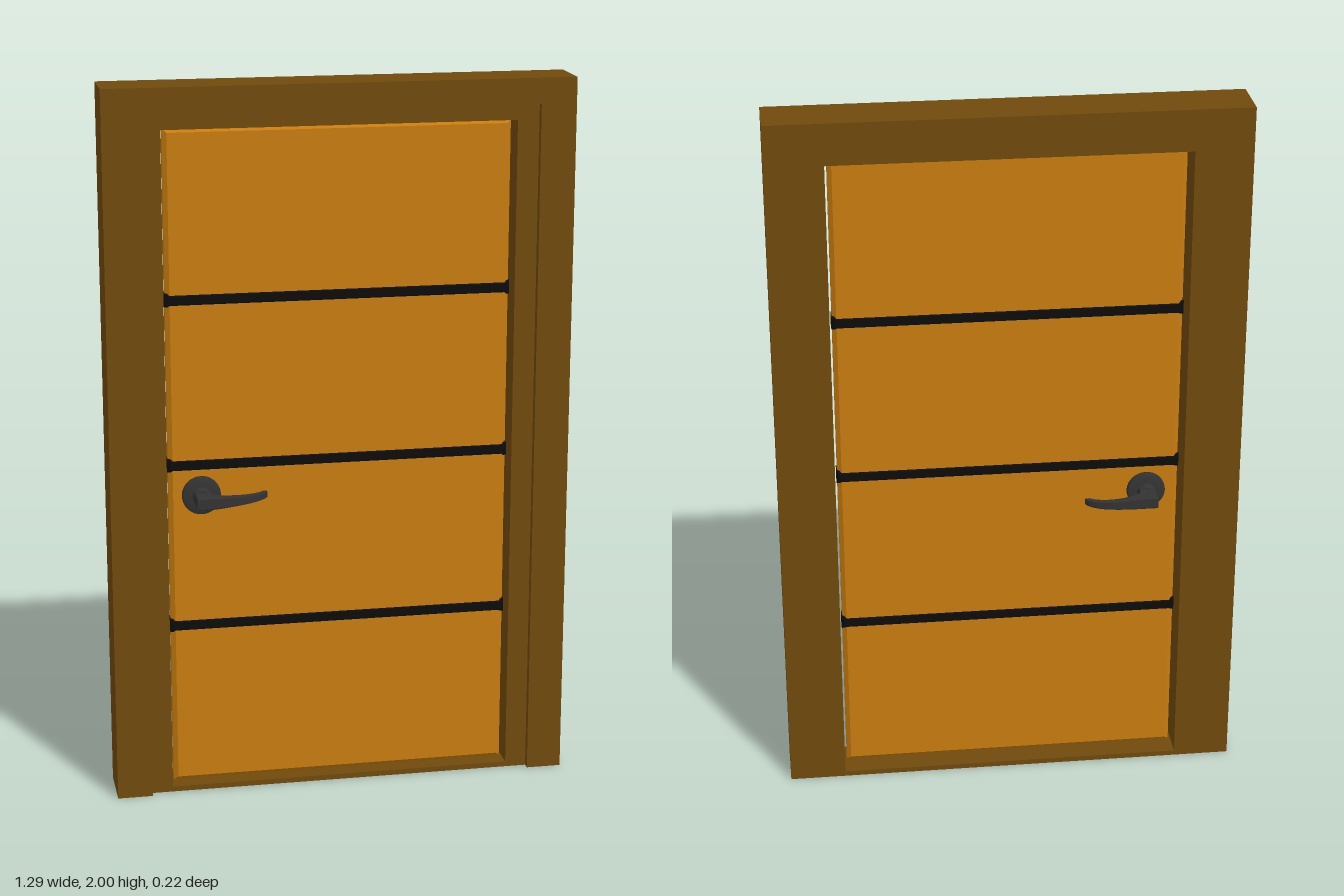
import * as THREE from 'three';

const material = (color) => new THREE.MeshStandardMaterial({ color });
const frameMat = material(0x704a0c);
const doorMat = material(0xc87c10);
const stripMat = material(0x0c0c0c);
const handleMat = material(0x333333);

const polygon = (points) => new THREE.Shape(points.map(([x, y]) => new THREE.Vector2(x, y)));
const rectangle = (w, y0, y1) => polygon([[-w, y0], [w, y0], [w, y1], [-w, y1]]);

function addMesh(parent, name, geometry, mat) {
  const mesh = new THREE.Mesh(geometry, mat);
  mesh.name = name;
  parent.add(mesh);
  return mesh;
}

// Flat outline given thickness from z0 to z1
function slab(shape, z0, z1) {
  return new THREE.ExtrudeGeometry(shape, { depth: z1 - z0, bevelEnabled: false }).translate(0, 0, z0);
}

// Rectangular panel with chamfered edges, centred on z = 0
function chamferedPanel(w, y0, y1, halfDepth, c) {
  return new THREE.ExtrudeGeometry(rectangle(w - c, y0 + c, y1 - c), {
    depth: 2 * (halfDepth - c), bevelThickness: c, bevelSize: c, bevelSegments: 1,
  }).translate(0, 0, c - halfDepth);
}

// Curved lever drawn from above, tapering in height towards its tip
function leverGeometry() {
  const s = new THREE.Shape();
  s.moveTo(-0.019, 0.04);
  s.lineTo(0.018, 0.04);
  s.lineTo(0.022, 0.076);
  s.bezierCurveTo(0.05, 0.1, 0.13, 0.104, 0.166, 0.068);
  s.lineTo(0.174, 0.068);
  s.bezierCurveTo(0.155, 0.098, 0.11, 0.109, 0.03, 0.109);
  s.lineTo(-0.019, 0.109);
  const geo = new THREE.ExtrudeGeometry(s, {
    depth: 0.026, bevelThickness: 0.004, bevelSize: 0.003, bevelSegments: 2, curveSegments: 16,
  }).translate(0, 0, -0.013).rotateX(Math.PI / 2);
  const p = geo.attributes.position;
  for (let i = 0; i < p.count; i++) {
    const t = THREE.MathUtils.clamp((p.getX(i) - 0.02) / 0.15, 0, 1);
    const y = p.getY(i);
    p.setY(i, y > 0 ? y * 0.95 : y * THREE.MathUtils.lerp(1.1, 0.2, t));
  }
  geo.computeVertexNormals();
  return geo;
}

function handle(name) {
  const group = new THREE.Group();
  group.name = name;
  // Domed rosette against the door
  const profile = [[0, 0.015], [0.054, 0.015], [0.054, 0.03], [0.05, 0.035], [0.03, 0.038], [0, 0.038]];
  const rosette = new THREE.LatheGeometry(profile.map(([r, y]) => new THREE.Vector2(r, y)), 32);
  addMesh(group, 'rosette', rosette.rotateX(Math.PI / 2), handleMat);
  // Spindle collar
  const collar = new THREE.CylinderGeometry(0.022, 0.027, 0.025, 24);
  addMesh(group, 'collar', collar.rotateX(Math.PI / 2).translate(0, 0, 0.047), handleMat);
  addMesh(group, 'lever', leverGeometry(), handleMat);
  group.position.set(-0.387, 0.866, 0);
  return group;
}

export function createModel() {
  const model = new THREE.Group();
  model.name = 'door';

  // Frame body with threshold, and the raised casing on the front
  const frame = new THREE.Group();
  frame.name = 'frame';
  model.add(frame);
  const body = rectangle(0.643, 0, 2);
  body.holes.push(rectangle(0.485, 0.015, 1.885));
  addMesh(frame, 'jambs', slab(body, -0.075, 0.055), frameMat);
  const casing = polygon([
    [-0.643, 0], [-0.545, 0], [-0.545, 1.93], [0.545, 1.93],
    [0.545, 0], [0.643, 0], [0.643, 2], [-0.643, 2],
  ]);
  addMesh(frame, 'casing', slab(casing, 0.055, 0.075), frameMat);

  // Door leaf with chamfered edges
  addMesh(model, 'doorLeaf', chamferedPanel(0.477, 0.018, 1.884, 0.022, 0.012), doorMat);

  // Dark strips wrapping the leaf
  for (const y of [0.486, 0.952, 1.417]) {
    addMesh(model, 'strip', chamferedPanel(0.479, y - 0.019, y + 0.019, 0.025, 0.008), stripMat);
  }

  // One handle on each face
  model.add(handle('frontHandle'));
  const back = handle('backHandle');
  back.rotation.x = Math.PI;
  model.add(back);

  return model;
}
